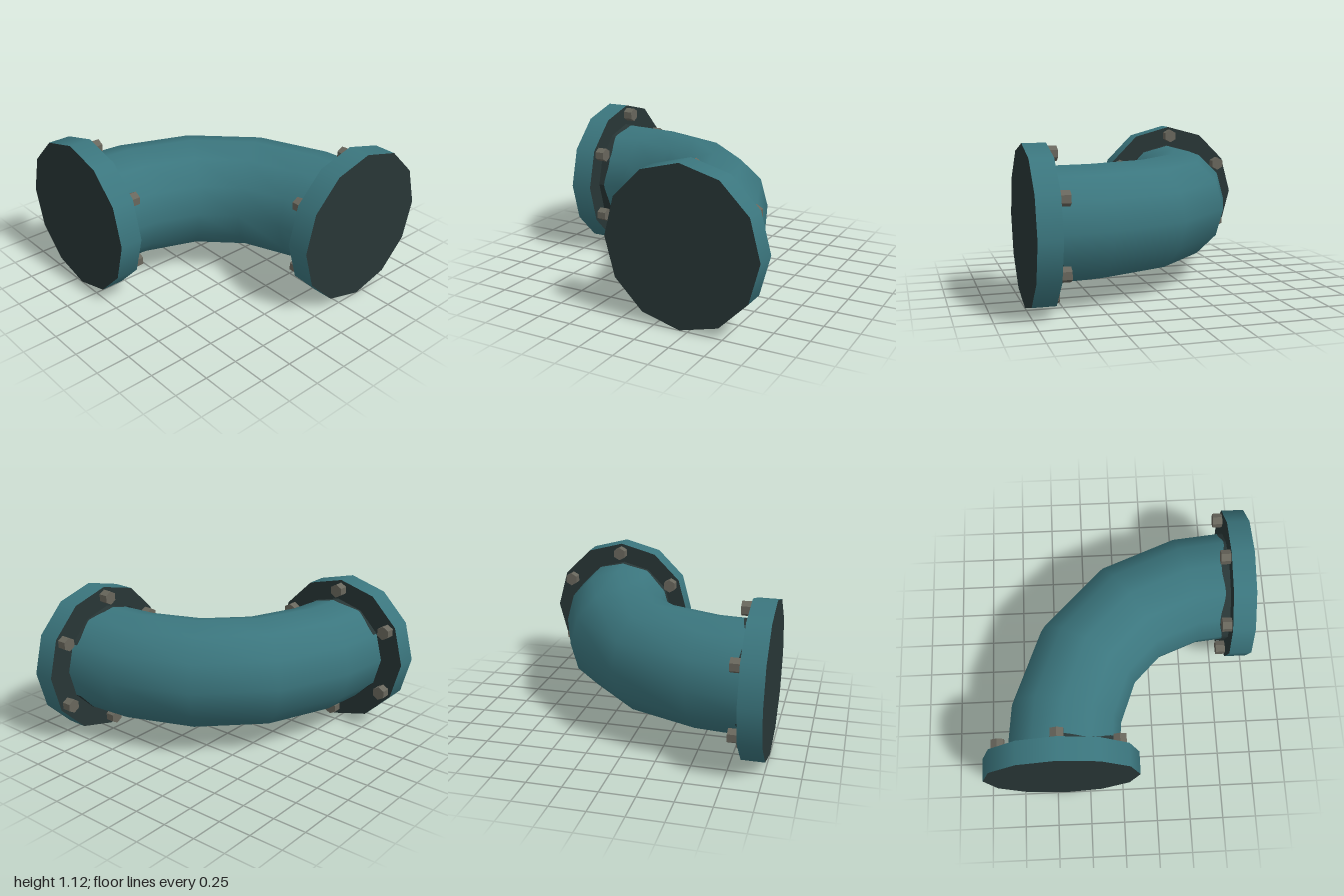
import * as THREE from 'three';

const AXIS = 0.44, MID_Y = 0.563, PIPE_R = 0.405, FLANGE_R = 0.562;
const FLANGE_T = 0.165, BOLT_RING = 0.49;

function material(name, color) {
  const m = new THREE.MeshStandardMaterial({ color });
  m.name = name;
  return m;
}

function addMesh(parent, name, geometry, mat) {
  const mesh = new THREE.Mesh(geometry, mat);
  mesh.name = name;
  parent.add(mesh);
  return mesh;
}

// Uneven dark collar hugging the pipe where it enters the flange.
// Local z points out of the pipe; side = +1 or -1 is the bend direction in x.
function collarGeometry(side) {
  const n = 72, pos = [], index = [];
  for (let i = 0; i <= n; i++) {
    const a = (i / n) * Math.PI * 2;
    const step = Math.PI / 6;
    const facet = Math.cos(step / 2) / Math.cos((a % step) - step / 2);
    const r = (PIPE_R + 0.005) * facet;
    const x0 = r * Math.cos(a), y = r * Math.sin(a);
    const x1 = side * 0.07 + x0 * 0.963, z1 = -0.565 + side * x0 * 0.272;
    const depth = 0.042 + 0.015 * Math.cos(6 * (a - Math.PI / 2)) + 0.02 * side * Math.cos(a);
    for (const z of [-FLANGE_T + 0.005, -FLANGE_T - depth]) {
      pos.push(x0 + (x1 - x0) * (z / z1), y, z);
    }
    if (i < n) {
      const k = i * 2;
      index.push(k, k + 1, k + 2, k + 1, k + 3, k + 2);
    }
  }
  const g = new THREE.BufferGeometry();
  g.setAttribute('position', new THREE.Float32BufferAttribute(pos, 3));
  g.setIndex(index);
  g.computeVertexNormals();
  return g;
}

export function createModel() {
  const model = new THREE.Group();
  model.name = 'pipeElbow';
  const teal = material('tealPaint', 0x3b767e);
  const dark = material('darkFace', 0x283636);
  const steel = material('boltSteel', 0x68665c);
  dark.side = THREE.DoubleSide;

  // Bent pipe
  const curve = new THREE.QuadraticBezierCurve3(
    new THREE.Vector3(-AXIS, MID_Y, 0.995),
    new THREE.Vector3(-AXIS, MID_Y, -AXIS),
    new THREE.Vector3(0.995, MID_Y, -AXIS)
  );
  addMesh(model, 'bentPipe', new THREE.TubeGeometry(curve, 5, PIPE_R, 12, false), teal);

  // Flange with collar and six bolts, one per pipe end
  const flangeGeo = new THREE.CylinderGeometry(FLANGE_R, FLANGE_R, FLANGE_T, 12)
    .rotateX(Math.PI / 2).translate(0, 0, -FLANGE_T / 2);
  const boltGeo = new THREE.CylinderGeometry(0.052, 0.052, 0.09, 6)
    .rotateX(Math.PI / 2).toNonIndexed();
  boltGeo.computeVertexNormals();

  function addEnd(name, x, z, turn, side) {
    const end = new THREE.Group();
    end.name = name;
    end.position.set(x, MID_Y, z);
    end.rotation.y = turn;
    addMesh(end, 'flange', flangeGeo, [teal, dark, dark]);
    addMesh(end, 'collar', collarGeometry(side), dark);
    for (let i = 0; i < 6; i++) {
      const a = Math.PI / 2 + (i * Math.PI) / 3;
      addMesh(end, 'bolt', boltGeo, steel)
        .position.set(BOLT_RING * Math.cos(a), BOLT_RING * Math.sin(a), -FLANGE_T - 0.025);
    }
    model.add(end);
  }
  addEnd('frontEnd', -AXIS, 1, 0, 1);
  addEnd('leftEnd', 1, -AXIS, Math.PI / 2, -1);

  return model;
}
